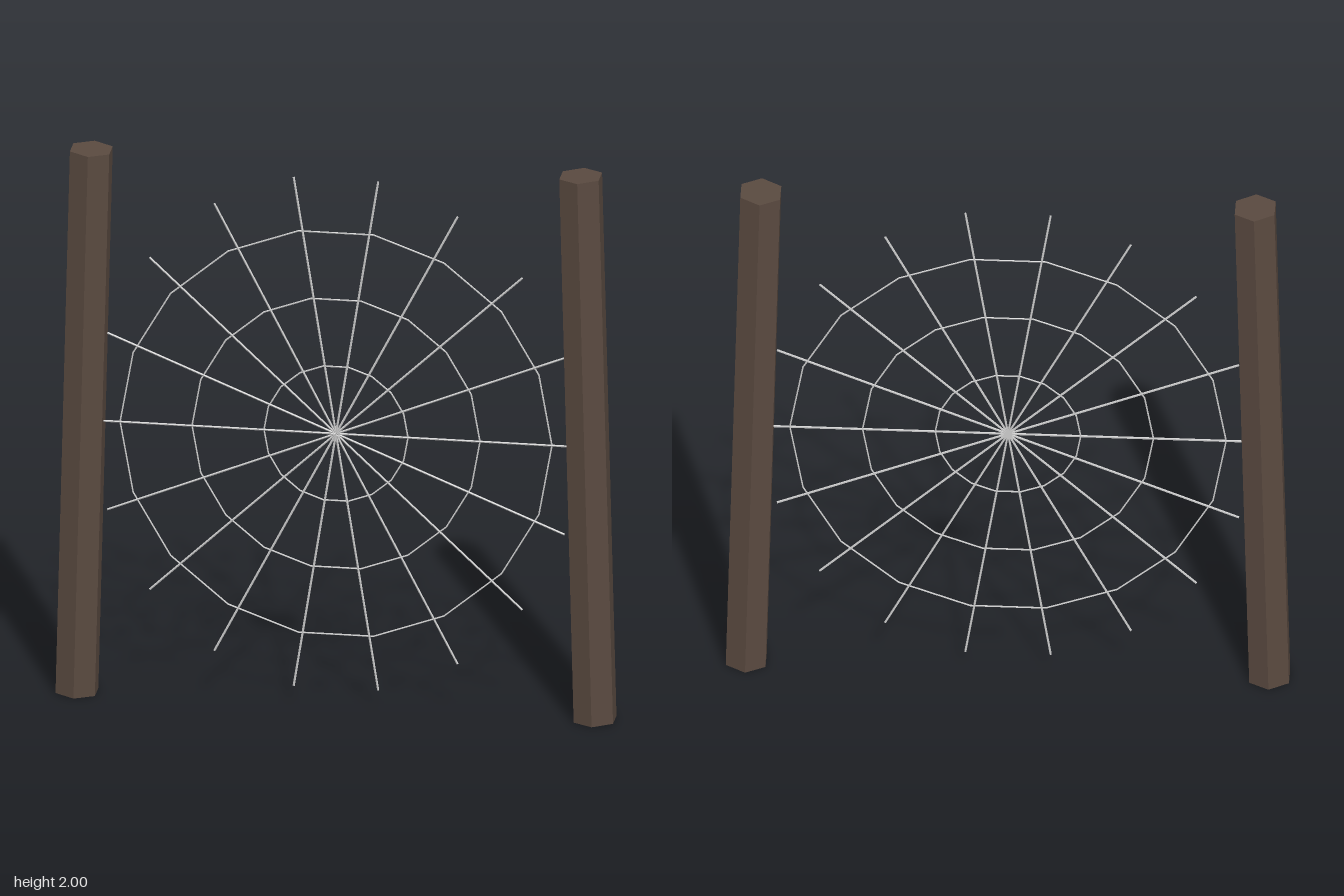
import * as THREE from 'three';

const SPOKES = 18;
const CENTRE_Y = 1;

export function createModel() {
  const model = new THREE.Group();
  const wood = new THREE.MeshStandardMaterial({ color: 0x5a4a40, flatShading: true });
  const thread = new THREE.MeshStandardMaterial({ color: 0xcccccc, flatShading: true });

  // Two hexagonal posts leaning slightly inward
  const postGeometry = new THREE.CylinderGeometry(0.079, 0.079, 1.997, 6);
  for (const side of [-1, 1]) {
    const post = new THREE.Mesh(postGeometry, wood);
    post.name = side > 0 ? 'leftPost' : 'rightPost';
    post.position.set(side * 0.875, CENTRE_Y, 0);
    post.rotation.z = side * 0.025;
    model.add(post);
  }

  const web = new THREE.Group();
  web.name = 'web';
  web.position.y = CENTRE_Y;
  model.add(web);

  // Radial threads reaching out to an upright ellipse
  const up = new THREE.Vector3(0, 1, 0);
  for (let i = 0; i < SPOKES; i++) {
    const a = (i / SPOKES) * Math.PI * 2;
    const end = new THREE.Vector3(0.845 * Math.cos(a), 0.95 * Math.sin(a), 0);
    const spoke = new THREE.Mesh(new THREE.CylinderGeometry(0.004, 0.004, end.length(), 5), thread);
    spoke.name = 'radialThread';
    spoke.position.copy(end).multiplyScalar(0.5);
    spoke.quaternion.setFromUnitVectors(up, end.clone().normalize());
    web.add(spoke);
  }

  // Polygonal ring threads
  for (const radius of [0.25, 0.5, 0.75]) {
    const ring = new THREE.Mesh(new THREE.TorusGeometry(radius, 0.003, 5, SPOKES), thread);
    ring.name = 'ringThread';
    web.add(ring);
  }

  return model;
}
